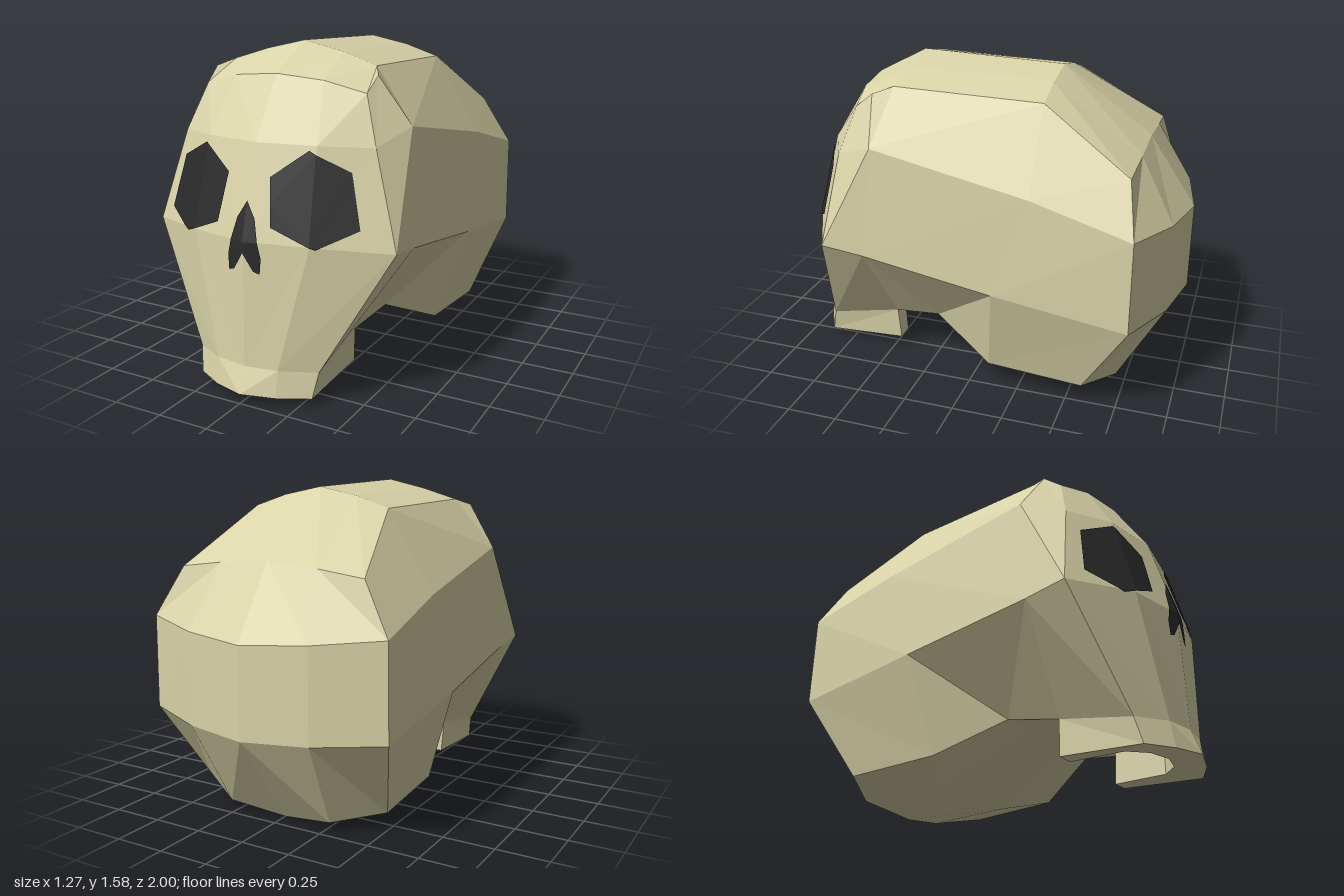
import * as THREE from 'three';

const bone = new THREE.MeshStandardMaterial({ color: 0xd9d3a8, flatShading: true });
bone.name = 'bone';
const hollow = new THREE.MeshStandardMaterial({ color: 0x2a2a2a, flatShading: true });
hollow.name = 'dark hollow';

// Rows from the chin, over the crown, to the underside: middle, halfway, left edge
const rows = [
  [[0, 0.05, 1], [0.16, 0.045, 0.95], [0.3, 0.04, 0.87]],
  [[0, 0.17, 0.955], [0.16, 0.17, 0.93], [0.32, 0.16, 0.84]],
  [[0, 0.75, 0.94], [0.3, 0.75, 0.88], [0.63, 0.72, 0.71]],
  [[0, 1.17, 0.82], [0.28, 1.17, 0.77], [0.5, 1.16, 0.65]],
  [[0, 1.45, 0.64], [0.23, 1.43, 0.62], [0.42, 1.38, 0.58]],
  [[0, 1.58, 0.39], [0.2, 1.535, 0.39], [0.38, 1.48, 0.4]],
  [[0, 1.555, -0.33], [0.2, 1.515, -0.33], [0.37, 1.46, -0.33]],
  [[0, 1.24, -0.77], [0.26, 1.22, -0.77], [0.49, 1.19, -0.76]],
  [[0, 0.9, -1], [0.32, 0.92, -0.94], [0.63, 0.95, -0.81]],
  [[0, 0.47, -1], [0.32, 0.48, -0.94], [0.635, 0.5, -0.81]],
  [[0, 0.005, -0.66], [0.28, 0.05, -0.71], [0.51, 0.1, -0.58]],
  [[0, 0.04, -0.33], [0.27, 0.06, -0.25], [0.49, 0.12, -0.1]],
  [[0, 0.27, 0.22], [0.18, 0.27, 0.22], [0.35, 0.27, 0.22]],
];
const edge = (i) => rows[i][2];

// Side points
const browBack = [0.43, 1.45, 0.49];
const temple = [0.58, 1.23, 0.45];
const sideMid = [0.605, 1.08, -0.33];
const cheek = [0.62, 0.69, 0.5];
const sideLow = [0.635, 0.59, -0.16];
const jawTop = [0.31, 0.23, 0.47];
const jawEnd = [0.3, 0.06, 0.46];

// Triangles between two lines of points, skipping collapsed ones
function strip(lower, upper) {
  const tris = [];
  for (let i = 0; i < lower.length - 1; i++) {
    const [a, b, c, d] = [lower[i], lower[i + 1], upper[i + 1], upper[i]];
    if (a !== b) tris.push([a, b, c]);
    if (c !== d) tris.push([a, c, d]);
  }
  return tris;
}

function rowStrips(from, to) {
  const tris = [];
  for (let i = from; i < to; i++) tris.push(...strip(rows[i], rows[i + 1]));
  return tris;
}

// Adds the other half, with corner order reversed
function mirror(tris) {
  const flip = ([x, y, z]) => [-x, y, z];
  return [...tris, ...tris.map(([a, b, c]) => [flip(a), flip(c), flip(b)])];
}

function makeMesh(name, tris, material) {
  const geo = new THREE.BufferGeometry();
  geo.setAttribute('position', new THREE.Float32BufferAttribute(tris.flat(2), 3));
  geo.computeVertexNormals();
  const mesh = new THREE.Mesh(geo, material);
  mesh.name = name;
  return mesh;
}

// Cuts a convex outline to one triangle, seen from the front
function clip(outline, tri) {
  let poly = outline;
  for (let i = 0; i < 3; i++) {
    const p = tri[i], q = tri[(i + 1) % 3];
    const dist = ([x, y]) => (q[0] - p[0]) * (y - p[1]) - (q[1] - p[1]) * (x - p[0]);
    const out = [];
    poly.forEach((a, k) => {
      const b = poly[(k + 1) % poly.length];
      const da = dist(a), db = dist(b);
      if (da >= 0) out.push(a);
      if ((da >= 0) !== (db >= 0)) {
        const t = da / (da - db);
        out.push([a[0] + (b[0] - a[0]) * t, a[1] + (b[1] - a[1]) * t]);
      }
    });
    poly = out;
  }
  return poly;
}

// Lays an outline on the face surface, just in front of it
function decal(outline, surface) {
  const poly = THREE.ShapeUtils.area(outline.map(([x, y]) => ({ x, y }))) < 0 ? [...outline].reverse() : outline;
  const tris = [];
  for (const tri of surface) {
    const [a, b, c] = tri.map((p) => new THREE.Vector3(...p));
    const n = b.clone().sub(a).cross(c.clone().sub(a)).normalize();
    if (n.z < 0.05) continue;
    const lift = ([x, y]) => [x, y, a.z - (n.x * (x - a.x) + n.y * (y - a.y)) / n.z + 0.006];
    const pts = clip(poly, tri).map(lift);
    for (let i = 1; i < pts.length - 1; i++) tris.push([pts[0], pts[i], pts[i + 1]]);
  }
  return tris;
}

export function createModel() {
  const group = new THREE.Group();

  // Face, from the upper teeth line to the forehead
  const face = mirror(rowStrips(1, 4));
  group.add(makeMesh('face', face, bone));

  // Crown, back of the head and underside
  group.add(makeMesh('cranium', mirror([
    ...rowStrips(4, 12),
    [edge(4), browBack, edge(5)],
  ]), bone));

  // Temples, sides and cheeks
  group.add(makeMesh('sides', mirror([
    ...strip([edge(3), temple, temple, sideMid, edge(8)], [edge(4), browBack, edge(5), edge(6), edge(7)]),
    ...strip([edge(2), cheek, sideLow, edge(9)], [edge(3), temple, sideMid, edge(8)]),
    ...strip([edge(1), jawTop, edge(12), edge(11), edge(10)], [edge(2), cheek, cheek, sideLow, edge(9)]),
  ]), bone));

  // Upper jaw: outer band, lower rim, hollow inside and palate
  const outer = [...rows[0], jawEnd];
  const inner = [[0, 0.06, 0.84], [0.12, 0.06, 0.81], [0.2, 0.06, 0.73], [0.21, 0.06, 0.46]];
  const roof = inner.map(([x, , z]) => [x, 0.23, z === 0.46 ? 0.47 : z]);
  const middle = [0, 0.23, 0.47];
  const palate = [0, 1, 2].map((i) => [middle, roof[i + 1], roof[i]]);
  group.add(makeMesh('upperJaw', mirror([
    ...rowStrips(0, 1),
    ...strip([edge(0), jawEnd], [edge(1), jawTop]),
    ...strip(inner, outer),
    ...strip(roof, inner),
    ...palate,
    ...strip([jawEnd, inner[3]], [jawTop, roof[3]]),
    ...strip(rows[12], [middle, roof[3], jawTop]),
  ]), bone));

  // Eye sockets and nose opening
  const leftEye = [[0.25, 1.15], [0.425, 1.06], [0.485, 0.82], [0.325, 0.74], [0.12, 0.82], [0.09, 1.03]];
  const rightEye = [[-0.29, 1.14], [-0.13, 1.03], [-0.16, 0.81], [-0.36, 0.73], [-0.525, 0.8], [-0.47, 1.05]];
  const nose = [[0, 0.925], [0.045, 0.85], [0.085, 0.68], [0.08, 0.61], [0.05, 0.62], [0, 0.7]];
  group.add(makeMesh('leftEyeSocket', decal(leftEye, face), hollow));
  group.add(makeMesh('rightEyeSocket', decal(rightEye, face), hollow));
  group.add(makeMesh('noseOpening', mirror(decal(nose, face)), hollow));

  return group;
}
